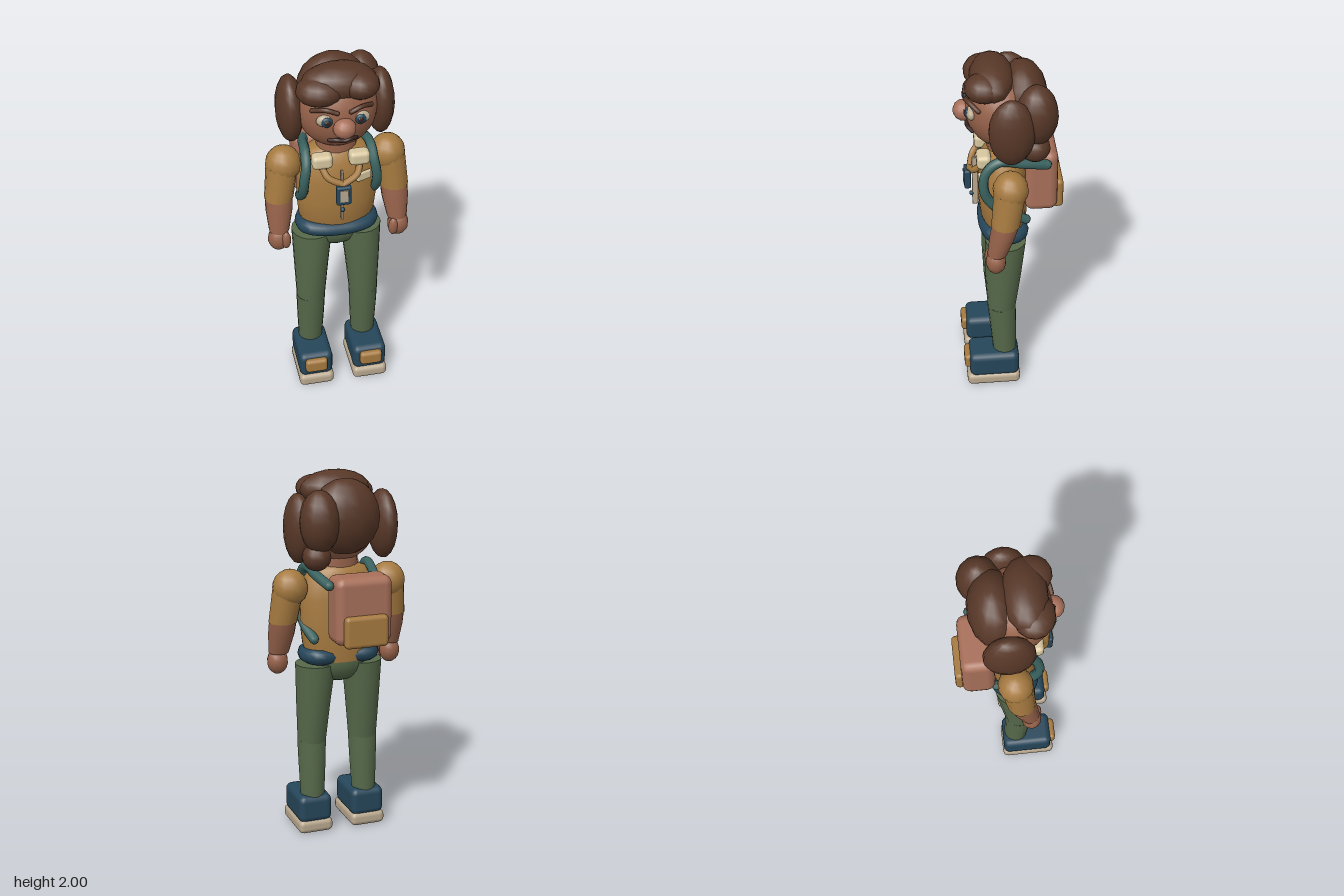
import * as THREE from 'three';
import { toCreasedNormals } from 'three/addons/utils/BufferGeometryUtils.js';
import { RoundedBoxGeometry } from 'three/addons/geometries/RoundedBoxGeometry.js';

const paint = (name, color) => {
  const m = new THREE.MeshStandardMaterial({ color });
  m.name = name;
  return m;
};

export function createModel() {
  const hair = paint('hair brown', 0x583828);
  const skin = paint('skin', 0x96624a);
  const rose = paint('rosy tan', 0xa8705a);
  const ochre = paint('ochre', 0xa67a40);
  const navy = paint('navy', 0x25465a);
  const green = paint('trouser green', 0x56694a);
  const teal = paint('strap teal', 0x3a6360);
  const cream = paint('cream', 0xd8c8a0);
  const stone = paint('sole stone', 0xb8a78e);
  const dark = paint('dark brown', 0x38221e);

  const model = new THREE.Group();
  model.name = 'hiker';

  const add = (name, geometry, material, pos = [0, 0, 0]) => {
    const mesh = new THREE.Mesh(geometry, material);
    mesh.name = name;
    mesh.position.set(...pos);
    model.add(mesh);
    return mesh;
  };
  const ball = (name, mat, pos, radii, w = 16, h = 12) =>
    add(name, new THREE.SphereGeometry(1, w, h).scale(...radii), mat, pos);
  const block = (name, mat, pos, size, r) =>
    add(name, new RoundedBoxGeometry(...size, 2, r), mat, pos);
  const tube = (name, mat, points, r, closed = false, sides = 8) => {
    const path = new THREE.CatmullRomCurve3(points.map(p => new THREE.Vector3(...p)), closed);
    const mesh = add(name, new THREE.TubeGeometry(path, 32, r, sides, closed), mat);
    if (!closed) for (const p of [points[0], points[points.length - 1]]) ball(name + 'End', mat, p, [r, r, r], 8, 6);
    return mesh;
  };
  // Sections run from top to bottom: [y, x, z, radius x, radius z]
  const loft = (name, mat, sections, sides = 18) => {
    const rows = sections.length - 1;
    const g = new THREE.CylinderGeometry(1, 1, 1, sides, rows);
    const p = g.attributes.position;
    for (let i = 0; i < p.count; i++) {
      const [y, x, z, rx, rz] = sections[Math.round((0.5 - p.getY(i)) * rows)];
      p.setXYZ(i, x + p.getX(i) * rx, y, z + p.getZ(i) * rz);
    }
    return add(name, toCreasedNormals(g, 0.9), mat);
  };

  // Torso, pelvis and neck
  loft('shirt', ochre, [
    [1.515, 0, 0.025, 0.09, 0.065], [1.49, 0, 0.025, 0.15, 0.09], [1.44, 0, 0.03, 0.195, 0.115],
    [1.33, 0, 0.033, 0.21, 0.126], [1.2, 0, 0.035, 0.215, 0.13], [1.08, 0, 0.03, 0.203, 0.124],
    [0.99, 0, 0.02, 0.175, 0.108],
  ], 24);
  ball('pelvis', green, [0, 0.99, 0.025], [0.165, 0.13, 0.11]);
  loft('neck', skin, [[1.6, 0, 0.03, 0.1, 0.08], [1.46, 0, 0.03, 0.11, 0.085]]);
  tube('belt', navy, [
    [0, 1.018, 0.125], [0.1, 1.022, 0.118], [0.165, 1.025, 0.09], [0.182, 1.02, 0.02],
    [0.14, 1.02, -0.05], [0, 1.02, -0.03],
    [-0.14, 1.02, -0.05], [-0.182, 1.02, 0.02], [-0.165, 1.025, 0.09], [-0.1, 1.022, 0.118],
  ], 0.043, true, 10);

  // Limbs, shoes and straps, mirrored
  for (const s of [1, -1]) {
    const side = s > 0 ? 'left' : 'right';
    loft(side + 'Thigh', green, [
      [0.97, s * 0.133, 0.028, 0.111, 0.11], [0.75, s * 0.142, 0.042, 0.094, 0.099], [0.51, s * 0.149, 0.053, 0.078, 0.077],
    ]);
    loft(side + 'Shin', green, [
      [0.53, s * 0.149, 0.053, 0.08, 0.078], [0.4, s * 0.15, 0.046, 0.076, 0.074], [0.19, s * 0.152, 0.036, 0.066, 0.065],
    ]);
    block(side + 'Sole', stone, [s * 0.154, 0.038, 0.105], [0.197, 0.076, 0.3], 0.028);
    block(side + 'Shoe', navy, [s * 0.154, 0.138, 0.1], [0.19, 0.155, 0.28], 0.035);
    block(side + 'ToePatch', ochre, [s * 0.157, 0.153, 0.243], [0.125, 0.085, 0.05], 0.02);

    ball(side + 'Shoulder', ochre, [s * 0.277, 1.4, 0.015], [0.095, 0.1, 0.092], 14, 10);
    loft(side + 'Sleeve', ochre, [[1.4, s * 0.285, 0.018, 0.084, 0.084], [1.21, s * 0.31, 0.042, 0.077, 0.075]], 14);
    loft(side + 'Forearm', skin, [[1.215, s * 0.31, 0.042, 0.074, 0.072], [1.14, s * 0.314, 0.06, 0.071, 0.067],
      [1.03, s * 0.321, 0.088, 0.054, 0.052]], 14);
    ball(side + 'Hand', skin, [s * 0.326, 0.98, 0.096], [0.058, 0.07, 0.054], 12, 9);
    ball(side + 'Thumb', skin, [s * 0.292, 0.985, 0.132], [0.027, 0.052, 0.022], 10, 8);

    tube(side + 'Strap', teal, [
      [s * 0.13, 1.44, -0.185], [s * 0.16, 1.475, -0.06], [s * 0.172, 1.5, 0.06], [s * 0.178, 1.44, 0.132],
      [s * 0.192, 1.35, 0.145], [s * 0.193, 1.27, 0.115], [s * 0.195, 1.19, 0.03], [s * 0.175, 1.13, -0.075],
    ], 0.026);

    // Collar pads and neck cord
    block(side + 'CollarPad', cream, [s * 0.097, 1.474, 0.138], [0.108, 0.078, 0.075], 0.024);
    tube(side + 'Cord', ochre, [[s * 0.1, 1.44, 0.15], [s * 0.075, 1.395, 0.185], [0, 1.355, 0.205]], 0.018);

    // Eyes and brows
    ball(side + 'Eye', stone, [s * 0.09, 1.752, 0.197], [0.047, 0.033, 0.026]);
    ball(side + 'Iris', navy, [s * 0.086, 1.75, 0.215], [0.029, 0.028, 0.014]);
    ball(side + 'Pupil', dark, [s * 0.084, 1.75, 0.225], [0.015, 0.016, 0.008], 10, 8);
    ball(side + 'Glint', cream, [s * 0.084 - 0.01, 1.76, 0.231], [0.005, 0.005, 0.004], 8, 6);
    tube(side + 'Brow', hair, [[s * 0.035, 1.8, 0.221], [s * 0.09, 1.816, 0.208], [s * 0.15, 1.795, 0.162]], 0.012);
  }

  // Head and face
  ball('head', skin, [0, 1.735, 0.04], [0.208, 0.215, 0.185], 24, 18);
  ball('nose', rose, [0, 1.715, 0.23], [0.059, 0.054, 0.055], 12, 9);
  tube('mouth', dark, [[-0.068, 1.628, 0.19], [-0.035, 1.636, 0.21], [0, 1.63, 0.214], [0.035, 1.636, 0.21], [0.068, 1.628, 0.19]], 0.011);

  // Hair lobes: name, centre, radii
  [
    ['crownHair', [0, 1.9, 0.085], [0.195, 0.1, 0.115]],
    ['rightFringe', [-0.1, 1.88, 0.118], [0.124, 0.076, 0.106]],
    ['leftFringe', [0.1, 1.9, 0.13], [0.098, 0.072, 0.1]],
    ['backHair', [0, 1.775, -0.07], [0.192, 0.2, 0.13]],
    ['rightSideHair', [-0.233, 1.715, -0.012], [0.073, 0.185, 0.133]],
    ['leftSideHair', [0.233, 1.715, 0.005], [0.073, 0.185, 0.118]],
    ['leftBackHair', [0.16, 1.765, -0.125], [0.105, 0.165, 0.11]],
    ['hairBun', [0.175, 1.582, -0.118], [0.076, 0.072, 0.078]],
  ].forEach(([name, pos, radii]) => ball(name, hair, pos, radii, 14, 10));

  // Backpack
  block('backpack', rose, [-0.047, 1.302, -0.165], [0.315, 0.362, 0.175], 0.045);
  block('backpackPocket', ochre, [-0.047, 1.2, -0.256], [0.24, 0.17, 0.06], 0.022);

  // Zip, hanging device and chest tag
  block('zip', stone, [0, 1.27, 0.178], [0.012, 0.3, 0.032], 0.004);
  ball('zipPull', navy, [0, 1.19, 0.198], [0.013, 0.013, 0.012], 10, 8);
  block('device', navy, [0, 1.3, 0.218], [0.078, 0.112, 0.036], 0.01);
  block('deviceScreen', stone, [0, 1.303, 0.236], [0.044, 0.074, 0.008], 0.003);
  const tag = block('chestTag', cream, [0.122, 1.355, 0.146], [0.086, 0.05, 0.018], 0.007);
  tag.rotation.y = 0.38;

  return model;
}
